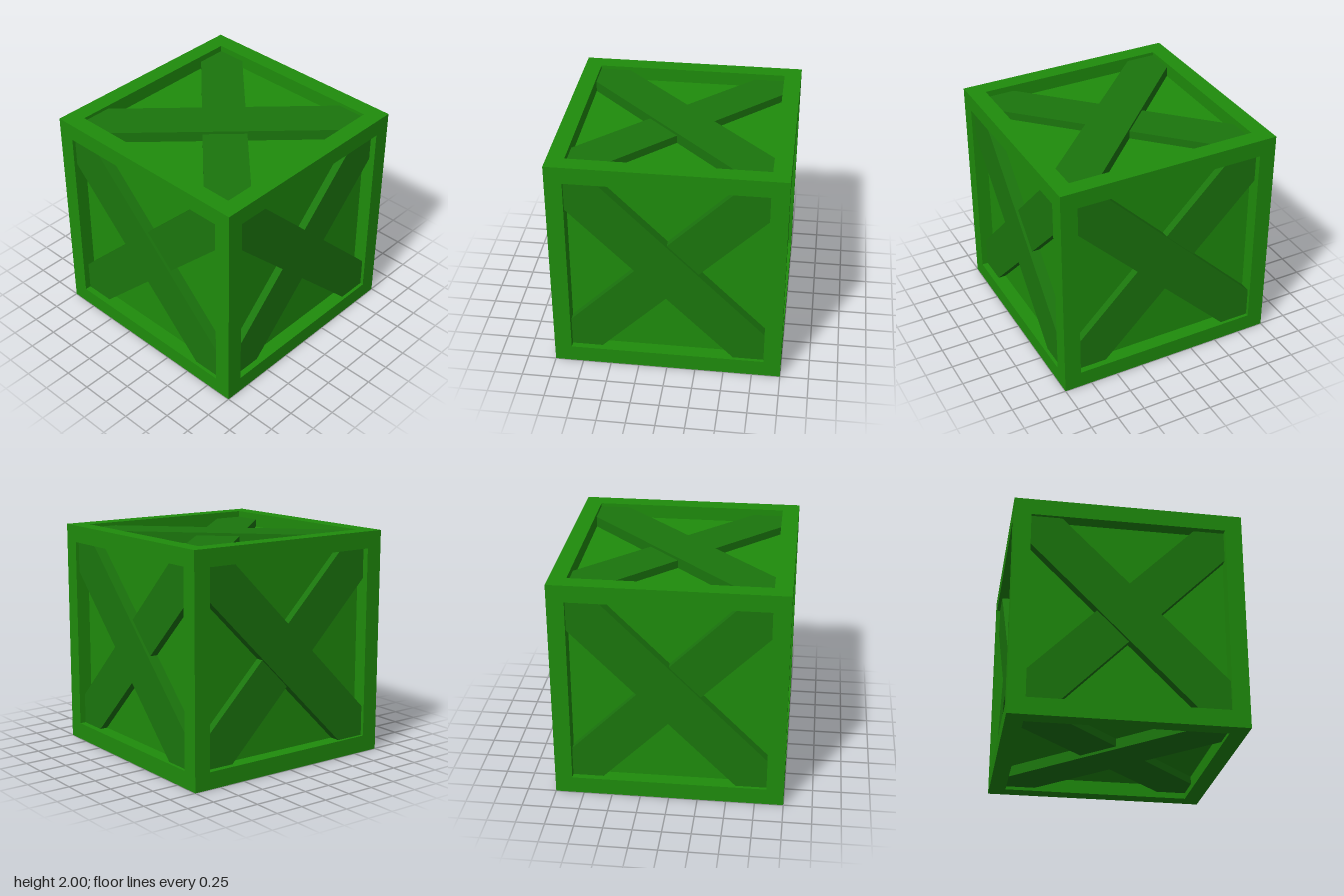
import * as THREE from 'three';

const OPEN = 0.85;     // half width of the opening in each face
const PANEL = 0.875;   // half width of the inner box
const PLANK = 0.27;    // how far a plank reaches along the opening from its corner

const polygon = (points) => new THREE.Shape(points.map(([x, y]) => new THREE.Vector2(x, y)));
const square = (h) => [[-h, -h], [h, -h], [h, h], [-h, h]];
const extrude = (shape, depth) => new THREE.ExtrudeGeometry(shape, { depth, bevelEnabled: false });

// Square frame whose outer rim is mitred inward so six of them close into a cube
function frameGeometry() {
  const shape = polygon(square(1));
  shape.holes.push(polygon(square(OPEN).reverse()));
  const geometry = extrude(shape, 1 - PANEL).translate(0, 0, PANEL);
  const p = geometry.attributes.position;
  for (let i = 0; i < p.count; i++) {
    if (p.getZ(i) < 0.9 && Math.abs(p.getX(i)) > 0.9) {
      p.setXY(i, Math.sign(p.getX(i)) * PANEL, Math.sign(p.getY(i)) * PANEL);
    }
  }
  geometry.computeVertexNormals();
  return geometry;
}

// Diagonal plank from bottom left to top right, its ends cut to fit the opening
function plankGeometry(top) {
  const a = OPEN, b = OPEN - PLANK;
  const shape = polygon([[-a, -a], [-b, -a], [a, b], [a, a], [b, a], [-a, -b]]);
  return extrude(shape, top - PANEL).translate(0, 0, PANEL);
}

export function createModel() {
  const model = new THREE.Group();
  model.name = 'crate';
  const green = new THREE.MeshStandardMaterial({ color: 0x1f8c0c });
  const darkGreen = new THREE.MeshStandardMaterial({ color: 0x1b760d });

  const add = (parent, name, geometry, material) => {
    const mesh = new THREE.Mesh(geometry, material);
    mesh.name = name;
    parent.add(mesh);
    return mesh;
  };

  // Inner box whose sides are the recessed panels
  const body = add(model, 'panels', new THREE.BoxGeometry(2 * PANEL, 2 * PANEL, 2 * PANEL), green);
  body.position.y = 1;

  const frame = frameGeometry();
  const lower = plankGeometry(0.945);
  const upper = plankGeometry(0.97).rotateZ(Math.PI / 2);

  // The same frame and crossed planks on all six faces
  const q = Math.PI / 2;
  const faces = {
    front: [0, 0], right: [0, q], back: [0, 2 * q], left: [0, -q], top: [-q, 0], bottom: [q, 0],
  };
  for (const [name, [rx, ry]] of Object.entries(faces)) {
    const face = new THREE.Group();
    face.name = `${name}Face`;
    face.position.y = 1;
    face.rotation.set(rx, ry, 0);
    add(face, 'frame', frame, green);
    add(face, 'lowerPlank', lower, darkGreen);
    add(face, 'upperPlank', upper, darkGreen);
    model.add(face);
  }
  return model;
}
